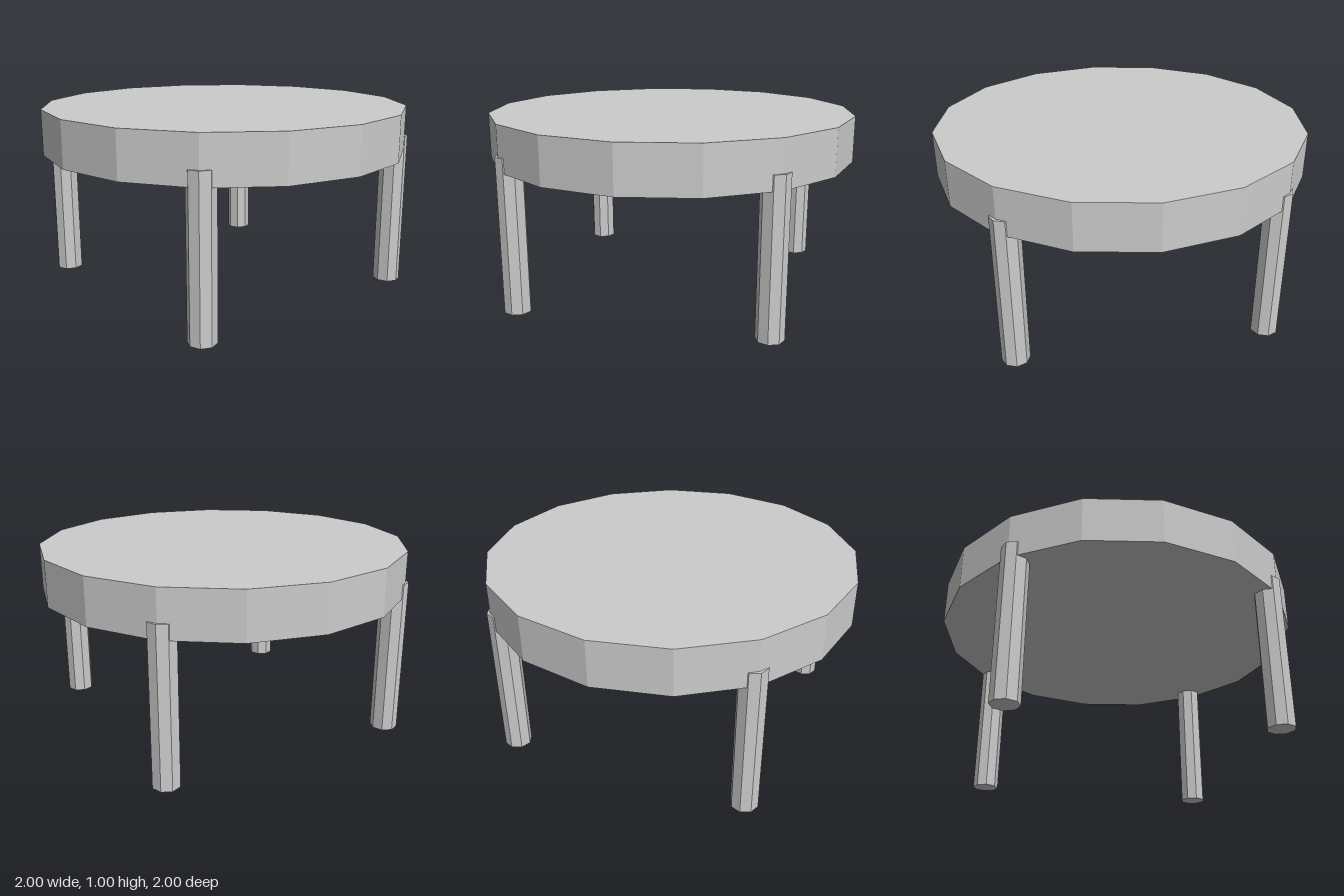
import * as THREE from 'three';

export function createModel() {
  const model = new THREE.Group();
  model.name = 'roundTable';

  const grey = new THREE.MeshStandardMaterial({ color: 0xcccccc, flatShading: true });
  grey.name = 'light grey';

  // Upright faceted cylinder spanning y0 to y1
  const column = (name, radius, y0, y1, sides, x, z) => {
    const mesh = new THREE.Mesh(new THREE.CylinderGeometry(radius, radius, y1 - y0, sides), grey);
    mesh.name = name;
    mesh.position.set(x, (y0 + y1) / 2, z);
    model.add(mesh);
  };

  // Thick sixteen-sided top
  column('tableTop', 1, 0.755, 1, 16, 0, 0);

  // Four octagonal legs, set into the rim
  for (const [side, x] of [['Left', 1], ['Right', -1]]) {
    for (const [end, z] of [['front', 1], ['back', -1]]) {
      column(`${end}${side}Leg`, 0.073, 0, 0.835, 8, x * 0.667, z * 0.667);
    }
  }

  return model;
}
